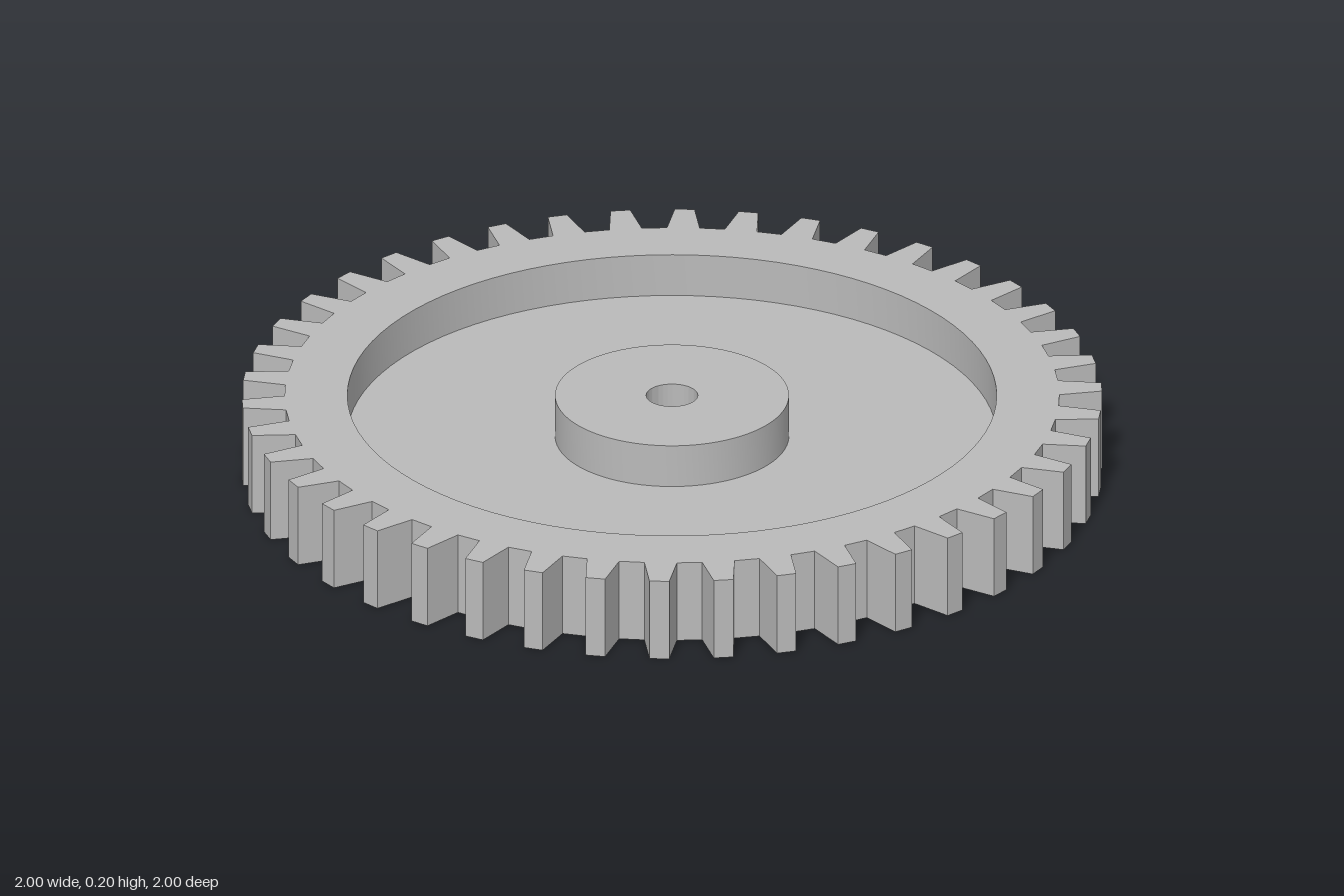
import * as THREE from 'three';
import { toCreasedNormals } from 'three/addons/utils/BufferGeometryUtils.js';

const TEETH = 42, HEIGHT = 0.2;
const ROOT_R = 0.9, TIP_R = 1, ROOT_HALF = 0.038, TIP_HALF = 0.023; // tooth sizes
const RIM_R = 0.755, HUB_R = 0.272, BORE_R = 0.06;
const SLOT_TOP = 0.072, WEB_TOP = 0.095;

// Points of a circular arc
function arc(r, from = 0, to = Math.PI * 2, n = 96) {
  return Array.from({ length: n }, (_, i) => {
    const a = from + (to - from) * i / n;
    return new THREE.Vector2(r * Math.cos(a), r * Math.sin(a));
  });
}

// Toothed outline with straight flanks and flat tips
function gearOutline() {
  const pts = [];
  for (let i = 0; i < TEETH; i++) {
    const a = Math.PI / 2 + i * Math.PI * 2 / TEETH;
    for (const [r, w] of [[ROOT_R, -ROOT_HALF], [TIP_R, -TIP_HALF], [TIP_R, TIP_HALF], [ROOT_R, ROOT_HALF]]) {
      pts.push(new THREE.Vector2(r, w).rotateAround(new THREE.Vector2(), a));
    }
  }
  return pts;
}

// Round pocket with a straight arm running towards +x
function keyholeOutline() {
  const half = 0.1, r = 0.134, end = 0.635, turn = -0.04;
  const a = Math.asin(half / r);
  const pts = arc(r, a, Math.PI * 2 - a, 48);
  pts.push(new THREE.Vector2(r * Math.cos(a), -half), new THREE.Vector2(end, -half), new THREE.Vector2(end, half));
  return pts.map(p => p.rotateAround(new THREE.Vector2(), turn));
}

// Flat slab between two heights with one opening
function slab(name, outline, opening, y0, y1, material) {
  const shape = new THREE.Shape(outline);
  shape.holes.push(new THREE.Path(opening));
  const geo = new THREE.ExtrudeGeometry(shape, { depth: y1 - y0, bevelEnabled: false });
  geo.rotateX(-Math.PI / 2);
  geo.translate(0, y0, 0);
  const mesh = new THREE.Mesh(toCreasedNormals(geo, 0.35), material);
  mesh.name = name;
  return mesh;
}

export function createModel() {
  const grey = new THREE.MeshStandardMaterial({ color: 0xbababa });
  grey.name = 'grey plastic';

  const gear = new THREE.Group();
  gear.name = 'gear';
  gear.add(
    slab('toothedRim', gearOutline(), arc(RIM_R), 0, HEIGHT, grey),
    slab('slottedBase', arc(RIM_R), keyholeOutline(), 0, SLOT_TOP, grey),
    slab('web', arc(RIM_R), arc(BORE_R), SLOT_TOP, WEB_TOP, grey),
    slab('hub', arc(HUB_R), arc(BORE_R), WEB_TOP, HEIGHT, grey)
  );
  return gear;
}
